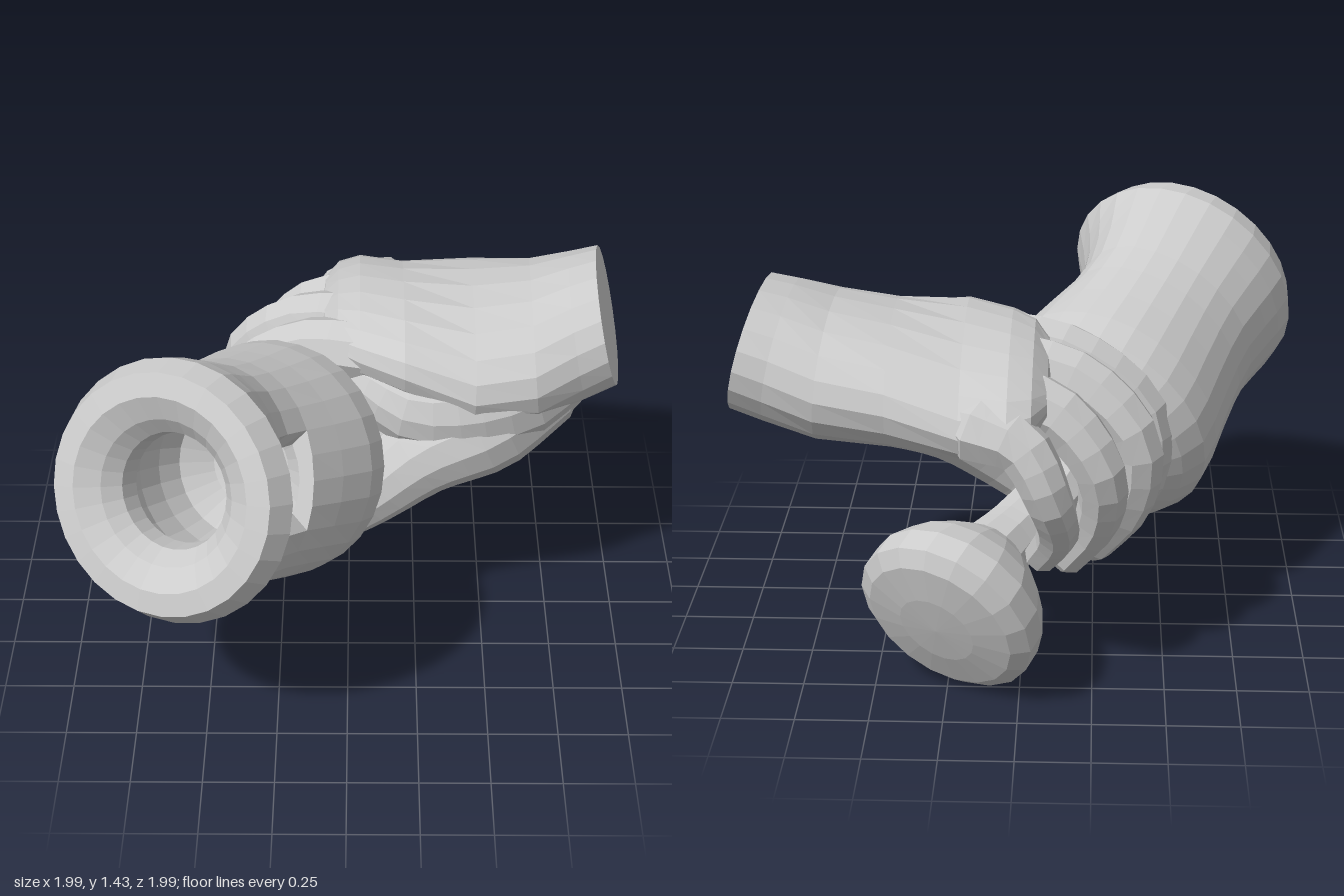
import * as THREE from 'three';

const V = (x, y, z) => new THREE.Vector3(x, y, z);
const material = new THREE.MeshStandardMaterial({ color: 0xcccccc, flatShading: true, side: THREE.DoubleSide });

// Skin over a list of closed rings; skip(i, j) leaves a face out, extra adds loose quads
function loft(name, rings, skip = () => false, extra = []) {
  const pos = [];
  const quad = (a, b, c, d) => [a, b, c, a, c, d].forEach(p => pos.push(p.x, p.y, p.z));
  for (let i = 0; i < rings.length - 1; i++) {
    const n = rings[i].length;
    for (let j = 0; j < n; j++) {
      if (skip(i, j)) continue;
      const k = (j + 1) % n;
      quad(rings[i][j], rings[i][k], rings[i + 1][k], rings[i + 1][j]);
    }
  }
  extra.forEach(q => quad(...q));
  const geo = new THREE.BufferGeometry();
  geo.setAttribute('position', new THREE.Float32BufferAttribute(pos, 3));
  geo.computeVertexNormals();
  const mesh = new THREE.Mesh(geo, material);
  mesh.name = name;
  return mesh;
}

// Ring of n points around a centre in the plane of u and v
function ring(c, u, v, ru, rv, n) {
  return Array.from({ length: n }, (_, j) => {
    const a = j / n * Math.PI * 2;
    return c.clone().addScaledVector(u, ru * Math.cos(a)).addScaledVector(v, rv * Math.sin(a));
  });
}

// Tapered tube through [x, y, z, radius] points with rounded ends
function limb(name, pts, n = 8, steps = 12) {
  const curve = new THREE.CatmullRomCurve3(pts.map(p => V(p[0], p[1], p[2])));
  const f = curve.computeFrenetFrames(steps, false);
  const rings = [];
  const add = (i, shift, k) => {
    const s = curve.getUtoTmapping(i / steps) * (pts.length - 1);
    const a = Math.min(Math.floor(s), pts.length - 2);
    const r = THREE.MathUtils.lerp(pts[a][3], pts[a + 1][3], s - a);
    const c = curve.getPointAt(i / steps).addScaledVector(f.tangents[i], shift * r);
    rings.push(ring(c, f.normals[i], f.binormals[i], r * k, r * k, n));
  };
  add(0, -0.75, 0); add(0, -0.55, 0.65);
  for (let i = 0; i <= steps; i++) add(i, 0, 1);
  add(steps, 0.55, 0.65); add(steps, 0.75, 0);
  return loft(name, rings);
}

// Shared slanted axis of the held object
const axis = V(0.425, -0.372, -0.823).normalize();
const side = V(0.905, 0.175, 0.387);
side.addScaledVector(axis, -side.dot(axis)).normalize();
const up = axis.clone().cross(side);
const turned = (c, profile, n) => profile.map(([t, r]) =>
  ring(c.clone().addScaledVector(axis, t), side, up, r, r, n));

// Hollow cup with a thick lip and a window in its dented side
function cup() {
  const n = 28, half = 2;
  const profile = [
    [0.68, 0], [0.64, 0.15], [0.56, 0.25], [0.46, 0.28], [0.34, 0.29], [0.22, 0.27],
    [0.14, 0.19], [0.06, 0.2], [0, 0.25], [-0.05, 0.33], [-0.04, 0.41], [0.05, 0.45], [0.14, 0.44],
    [0.22, 0.425], [0.34, 0.405], [0.46, 0.405], [0.6, 0.415], [0.75, 0.43], [0.86, 0.43],
    [0.95, 0.38], [1.03, 0.28], [1.08, 0.18], [1.12, 0]
  ];
  const rings = turned(V(-0.6, 1.04, 0.72), profile, n);
  [0.05, 0.08, 0.09, 0.07, 0.03].forEach((depth, i) => rings[12 + i].forEach((p, j) =>
    p.addScaledVector(side, -depth * Math.max(0, Math.cos(j / n * Math.PI * 2)) ** 2)));
  // the body sags a little toward its closed end
  rings.forEach((r, i) => r.forEach(p => p.add(V(-0.03, -0.03, 0).multiplyScalar(profile[i][0]))));
  const inWindow = j => j < half || j >= n - half;
  const skip = (i, j) => inWindow(j) && (i === 3 || i === 4 || i === 13 || i === 14);
  const walls = [];
  for (let j = 0; j < n; j++) {
    if (!inWindow(j)) continue;
    const k = (j + 1) % n;
    walls.push([rings[13][j], rings[13][k], rings[5][k], rings[5][j]]);
    walls.push([rings[15][k], rings[15][j], rings[3][j], rings[3][k]]);
  }
  for (const i of [13, 14]) {
    const a = half, b = n - half, m = 18 - i;
    walls.push([rings[i][a], rings[i + 1][a], rings[m - 1][a], rings[m][a]]);
    walls.push([rings[i + 1][b], rings[i][b], rings[m][b], rings[m - 1][b]]);
  }
  return loft('cup', rings, skip, walls);
}

// Palm and wrist: elliptical sections along x, the wrist end cut at a slant
function palm() {
  // x, centre y, centre z, half height, half depth, slant
  const sections = [
    [-0.1, 1.05, -0.45, 0.0, 0.0, 0],
    [-0.09, 1.05, -0.45, 0.07, 0.26, 0],
    [-0.04, 1.04, -0.45, 0.13, 0.37, 0],
    [0.04, 1.03, -0.44, 0.165, 0.43, 0],
    [0.2, 1.02, -0.37, 0.19, 0.46, 0],
    [0.45, 1.01, -0.3, 0.225, 0.45, 0],
    [0.68, 1.03, -0.28, 0.24, 0.41, 0.1],
    [0.84, 1.08, -0.29, 0.235, 0.35, 0.2],
    [0.945, 1.115, -0.3, 0.225, 0.325, 0.25],
    [0.945, 1.115, -0.3, 0, 0, 0.25]
  ];
  const rings = sections.map(([x, y, z, h, d, s]) => {
    const r = ring(V(x, y, z), V(0, 1, 0), V(0, 0, 1), h, d, 20);
    // the little-finger side hangs lower; the end plane leans back
    r.forEach(p => {
      p.x -= s * (p.y - y) + 0.3 * s * (p.z - z);
      if (x < 0.4) p.y += 0.13 * (p.z - z);
    });
    return r;
  });
  return loft('palm', rings);
}

export function createModel() {
  const model = new THREE.Group();

  const held = new THREE.Group();
  held.name = 'heldObject';
  held.add(cup());
  held.add(limb('stem', [[-0.18, 0.58, -0.08, 0.15], [-0.07, 0.49, -0.28, 0.12], [0.04, 0.45, -0.46, 0.115],
    [0.14, 0.41, -0.63, 0.14]], 10));
  held.add(loft('knob', turned(V(0.25, 0.31, -0.825), [
    [-0.36, 0], [-0.35, 0.11], [-0.27, 0.2], [-0.18, 0.28], [-0.09, 0.325], [0, 0.325], [0.04, 0.27],
    [0.06, 0.14], [0.065, 0]], 18)));
  model.add(held);

  const hand = new THREE.Group();
  hand.name = 'hand';
  hand.add(palm());
  // Fleshy base that joins the thumb to the palm
  hand.add(limb('thumbBase', [[0.78, 1.03, -0.22, 0.19], [0.6, 0.95, -0.1, 0.22], [0.42, 0.91, -0.06, 0.21],
    [0.25, 0.9, -0.06, 0.18], [0.1, 0.95, -0.12, 0.14]], 14, 10));
  hand.add(limb('thumb', [[0.72, 0.93, -0.14, 0.16], [0.5, 0.82, -0.04, 0.19], [0.28, 0.72, 0, 0.165],
    [0.08, 0.55, 0.03, 0.125], [-0.07, 0.42, 0.02, 0.095], [-0.17, 0.36, 0, 0.065]], 12, 14));
  // Fingers bend at the knuckles and hang down along the far side of the stem
  const fingers = {
    indexFinger: [[0.12, 1.06, -0.12, 0.12], [-0.17, 1.03, -0.2, 0.11], [-0.41, 0.85, -0.24, 0.095],
      [-0.43, 0.62, -0.24, 0.088], [-0.34, 0.42, -0.23, 0.07]],
    middleFinger: [[0.08, 1.05, -0.34, 0.13], [-0.2, 1.01, -0.41, 0.105], [-0.39, 0.82, -0.47, 0.093],
      [-0.37, 0.57, -0.43, 0.085], [-0.25, 0.38, -0.37, 0.068]],
    ringFinger: [[0.09, 1.01, -0.55, 0.13], [-0.12, 0.97, -0.61, 0.105], [-0.27, 0.78, -0.65, 0.09],
      [-0.26, 0.56, -0.57, 0.08], [-0.16, 0.38, -0.48, 0.065]],
    littleFinger: [[0.14, 0.97, -0.74, 0.12], [-0.01, 0.93, -0.81, 0.095], [-0.1, 0.76, -0.84, 0.08],
      [-0.13, 0.59, -0.73, 0.072], [-0.07, 0.44, -0.6, 0.06]]
  };
  for (const [name, pts] of Object.entries(fingers)) hand.add(limb(name, pts));
  model.add(hand);

  return model;
}
